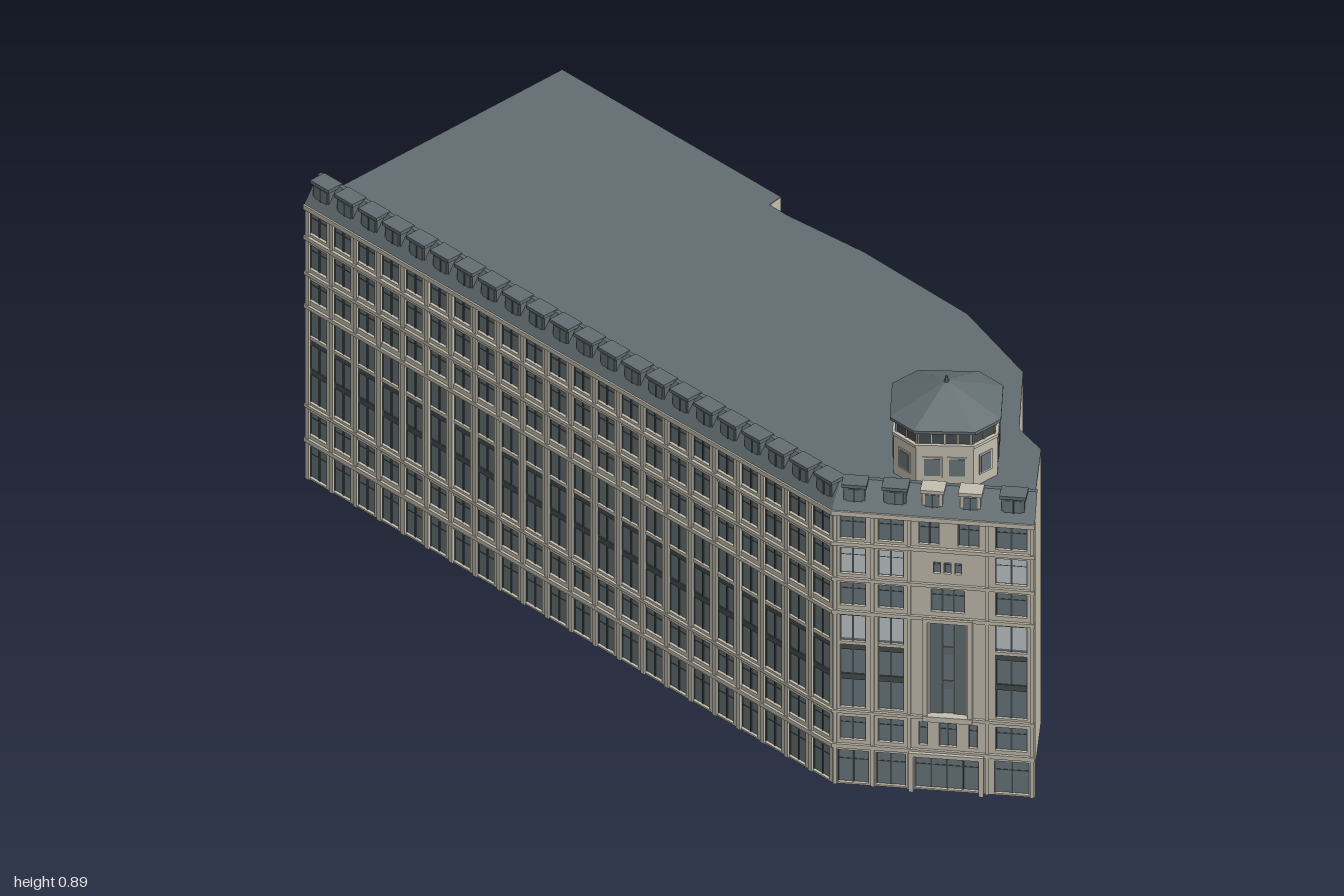
import * as THREE from 'three';
import { mergeGeometries } from 'three/addons/utils/BufferGeometryUtils.js';

const mat = (color, side = THREE.FrontSide) => new THREE.MeshStandardMaterial({ color, side, flatShading: true });
const STONE = mat(0xc2bdae), SLATE = mat(0x626d71), GLASS = mat(0x69757a);
const DARK = mat(0x454c4e), PALE = mat(0xbec5c7);
const STONE_SHEET = mat(0xc2bdae, THREE.DoubleSide), SLATE_SHEET = mat(0x626d71, THREE.DoubleSide);

// Street corners of the two decorated fronts, as [x, z], then the plain rear outline
const STREET = [[-0.588, -0.708], [0.031, 0.783], [0.409, 0.988]];
const REAR = [[0.455, 0.87], [0.525, 0.72], [0.51, 0.63], [0.595, 0.43], [0.565, 0.18],
  [0.446, -0.12], [0.345, -0.31], [0.325, -0.36], [0.358, -0.38], [0.102, -1.0]];
const EAVES = 0.685, WALL = 0.01;

function mesh(name, geometry, material) {
  const m = new THREE.Mesh(geometry, material);
  m.name = name;
  return m;
}

// Box given by its limits along the wall, in height and in depth
function box(x0, x1, y0, y1, z0, z1) {
  return new THREE.BoxGeometry(x1 - x0, y1 - y0, z1 - z0)
    .translate((x0 + x1) / 2, (y0 + y1) / 2, (z0 + z1) / 2);
}

// Street line moved outwards by d, mitred at the corner
function streetOffset(d) {
  const normals = [0, 1].map((i) => {
    const [a, b] = [STREET[i], STREET[i + 1]];
    return new THREE.Vector2(-(b[1] - a[1]), b[0] - a[0]).normalize();
  });
  const miter = normals[0].clone().add(normals[1]).normalize();
  miter.divideScalar(miter.dot(normals[0]));
  return [normals[0], miter, normals[1]].map((n, i) => [STREET[i][0] + n.x * d, STREET[i][1] + n.y * d]);
}

function fromTriangles(tris) {
  const g = new THREE.BufferGeometry();
  g.setAttribute('position', new THREE.Float32BufferAttribute(tris.flat(), 3));
  g.computeVertexNormals();
  return g;
}

// Quads between two rows of points, lower row first
function strip(lo, hi) {
  const tris = [];
  for (let i = 0; i < lo.length - 1; i++)
    tris.push(lo[i], lo[i + 1], hi[i + 1], lo[i], hi[i + 1], hi[i]);
  return tris;
}

// Sweeps an [out, y] profile along both street fronts; a closed one gets end caps
function streetSweep(profile, closed) {
  const rows = profile.map(([d, y]) => streetOffset(d).map(([x, z]) => [x, y, z]));
  const n = rows.length, tris = [];
  for (let j = 0; j < (closed ? n : n - 1); j++) tris.push(...strip(rows[j], rows[(j + 1) % n]));
  for (let j = 1; closed && j < n - 1; j++) {
    tris.push(rows[0][0], rows[j][0], rows[j + 1][0]);
    tris.push(rows[0][2], rows[j + 1][2], rows[j][2]);
  }
  return fromTriangles(tris);
}

// Wall with window openings [x0, x1, y0, y1, panes], glass and glazing bars
function facade(name, index, windows) {
  const [a, b] = [STREET[index], STREET[index + 1]];
  const [dx, dz] = [b[0] - a[0], b[1] - a[1]];
  const length = Math.hypot(dx, dz);
  const g = new THREE.Group();
  g.name = name;
  g.position.set(a[0], 0, a[1]);
  g.rotation.y = Math.atan2(-dz, dx);
  const rect = (T, x0, x1, y0, y1) => new T([[x0, y0], [x1, y0], [x1, y1], [x0, y1]]
    .map((p) => new THREE.Vector2(...p)));
  const shape = rect(THREE.Shape, 0, length, 0, EAVES);
  const bars = [], glass = [];
  for (const [x0, x1, y0, y1, panes = 2] of windows) {
    shape.holes.push(rect(THREE.Path, x0, x1, y0, y1));
    glass.push(box(x0, x1, y0, y1, -0.0095, -0.007));
    for (let i = 0; i <= panes; i++) {
      const x = x0 + ((x1 - x0) * i) / panes;
      bars.push(box(x - 0.0018, x + 0.0018, y0, y1, -0.008, -0.005));
    }
    const transom = y0 + (y1 - y0) * 0.7;
    bars.push(box(x0, x1, transom - 0.001, transom + 0.001, -0.008, -0.006));
    bars.push(box(x0, x1, y1 - 0.003, y1, -0.008, -0.005));
  }
  const wall = new THREE.ExtrudeGeometry(shape, { depth: WALL, bevelEnabled: false }).translate(0, 0, -WALL);
  g.add(mesh('wall', wall, STONE));
  g.add(mesh('glass', mergeGeometries(glass), GLASS));
  g.add(mesh('glazingBars', mergeGeometries(bars), DARK));
  return g;
}

// Dark floor bands with a thin stone sill across tall windows; spans are [x0, x1]
function floorBands(spans) {
  const g = new THREE.Group();
  g.name = 'floorBands';
  g.add(mesh('panel', mergeGeometries(spans.flatMap(([a, b]) =>
    [0.262, 0.337].map((y) => box(a, b, y, y + 0.014, -0.009, -0.004)))), DARK));
  g.add(mesh('sill', mergeGeometries(spans.map(([a, b]) => box(a, b, 0.351, 0.359, -0.009, -0.001))), STONE));
  return g;
}

// Dormers standing on the steep roof; spans are [x0, x1]
function dormers(spans, material, name) {
  const g = new THREE.Group();
  g.name = name;
  const part = (f) => mergeGeometries(spans.map(([a, b]) => f(a, b)));
  g.add(mesh('dormerBody', part((a, b) => box(a, b, 0.69, 0.742, -0.043, -0.01)), material));
  g.add(mesh('dormerRoof', part((a, b) => box(a - 0.004, b + 0.004, 0.742, 0.75, -0.046, -0.005)), material));
  g.add(mesh('dormerGlass', part((a, b) => box(a + 0.006, b - 0.006, 0.699, 0.737, -0.011, -0.0085)), GLASS));
  g.add(mesh('dormerBar', part((a, b) => box((a + b) / 2 - 0.002, (a + b) / 2 + 0.002, 0.699, 0.737, -0.01, -0.0075)), DARK));
  return g;
}

function sideFront() {
  const length = Math.hypot(STREET[1][0] - STREET[0][0], STREET[1][1] - STREET[0][1]);
  const bays = 22, pitch = length / bays;
  const floors = [[0.004, 0.085], [0.112, 0.17], [0.193, 0.425], [0.45, 0.503], [0.53, 0.592], [0.618, 0.672]];
  const windows = [], piers = [], openings = [], spans = [];
  for (let i = 0; i < bays; i++) {
    const x = (i + 0.5) * pitch;
    for (const [y0, y1] of floors) windows.push([x - 0.027, x + 0.027, y0, y1]);
    openings.push([x - 0.027, x + 0.027]);
    piers.push(box(x - pitch / 2 + 0.002, x - pitch / 2 + 0.013, 0, EAVES, -0.002, 0.004));
    spans.push([x - 0.024, x + 0.024]);
  }
  const g = facade('sideFront', 0, windows);
  g.add(mesh('piers', mergeGeometries(piers), STONE));
  g.add(floorBands(openings), dormers(spans, SLATE, 'sideDormers'));
  return g;
}

function entranceFront() {
  const [b, c] = [STREET[1], STREET[2]];
  const stretch = Math.hypot(c[0] - b[0], c[1] - b[1]) / (c[0] - b[0]);
  const u = (x) => (x - b[0]) * stretch;
  const at = (x0, x1, ...rest) => [u(x0), u(x1), ...rest];
  const outer = [[0.045, 0.092], [0.116, 0.163], [0.335, 0.394]];
  const windows = [], pale = [];
  for (const [x0, x1] of outer) {
    for (const [y0, y1] of [[0.112, 0.17], [0.193, 0.425], [0.45, 0.507], [0.53, 0.595], [0.618, 0.675]])
      windows.push(at(x0, x1, y0, y1));
    for (const [y0, y1] of [[0.365, 0.422], [0.532, 0.593]]) pale.push(box(...at(x0, x1, y0, y1), -0.008, -0.0062));
  }
  // Ground floor, centre bay and the small openings
  windows.push(at(0.04, 0.098, 0.004, 0.085), at(0.112, 0.167, 0.004, 0.085), at(0.333, 0.398, 0.004, 0.085),
    at(0.185, 0.303, 0.004, 0.085, 4), at(0.213, 0.28, 0.193, 0.425, 3), at(0.215, 0.277, 0.45, 0.507, 3),
    at(0.192, 0.208, 0.112, 0.17, 1), at(0.23, 0.262, 0.112, 0.17), at(0.285, 0.301, 0.112, 0.17, 1),
    at(0.192, 0.23, 0.618, 0.675), at(0.265, 0.304, 0.618, 0.675));
  for (const x of [0.219, 0.239, 0.259]) windows.push(at(x, x + 0.013, 0.547, 0.575, 1));
  const g = facade('entranceFront', 1, windows);
  g.add(mesh('paleBlinds', mergeGeometries(pale), PALE));
  g.add(floorBands(outer.map(([x0, x1]) => at(x0, x1))));

  // Raised surrounds of the centre bay and of the entrance, and flat pilasters
  const surround = (x0, x1, y0, y1, t, out) => [
    box(u(x0), u(x0 + t), y0, y1, -0.002, out), box(u(x1 - t), u(x1), y0, y1, -0.002, out),
    box(u(x0), u(x1), y1 - t, y1, -0.002, out)];
  const trim = [...surround(0.2, 0.293, 0.185, 0.437, 0.009, 0.012), ...surround(0.174, 0.314, 0, 0.098, 0.009, 0.014)];
  trim.push(box(u(0.2), u(0.293), 0.18, 0.193, -0.002, 0.014));
  for (const x of [0.032, 0.102, 0.17, 0.316, 0.4])
    trim.push(box(u(x), u(x + 0.007), 0, EAVES, -0.002, 0.004));
  g.add(mesh('surrounds', mergeGeometries(trim), STONE));

  // Slate panels flanking the narrow centre panes
  const panels = [[0.213, 0.234], [0.259, 0.28]].map(([x0, x1]) => box(...at(x0, x1, 0.193, 0.425), -0.009, -0.004));
  for (const y of [0.255, 0.34]) panels.push(box(u(0.234), u(0.259), y, y + 0.02, -0.009, -0.005));
  g.add(mesh('centrePanels', mergeGeometries(panels), SLATE));
  const span = (list) => list.map(([x0, x1]) => at(x0, x1));
  g.add(dormers(span([[0.05, 0.09], [0.125, 0.167], [0.345, 0.388]]), SLATE, 'frontDormers'));
  g.add(dormers(span([[0.197, 0.235], [0.268, 0.306]]), STONE, 'stoneDormers'));
  return g;
}

// Eight-sided lantern on the roof with alternating long and short sides
function tower() {
  const g = new THREE.Group();
  g.name = 'roofTower';
  g.position.set(0.327, 0, 0.68);
  const corners = [];
  for (let k = 4; k >= 0; k--) corners.push(68 + 90 * k + 16, 68 + 90 * k - 16);
  corners.length = 9;
  const ring = ([r, y]) => corners.map((d) => {
    const t = THREE.MathUtils.degToRad(d);
    return [r * Math.cos(t), y, r * Math.sin(t)];
  });
  const loft = (profile) => fromTriangles(profile.slice(1).flatMap((p, j) => strip(ring(profile[j]), ring(p))));
  g.add(mesh('towerWall', loft([[0.125, 0.68], [0.125, 0.783], [0.128, 0.783], [0.128, 0.79], [0.001, 0.79]]), STONE));
  g.add(mesh('lanternGlass', loft([[0.119, 0.785], [0.119, 0.822]]), DARK));
  g.add(mesh('towerRoof', loft([[0.001, 0.822], [0.134, 0.822], [0.134, 0.829], [0.006, 0.88], [0.002, 0.894], [0.0001, 0.895]]), SLATE));
  const panes = [], posts = [], frames = [];
  for (let k = 0; k < 8; k++) {
    const long = k % 2, deg = 68 + 45 * k;
    const face = 0.125 * Math.cos(THREE.MathUtils.degToRad(long ? 29 : 16));
    const turn = (geo) => geo.rotateY(THREE.MathUtils.degToRad(90 - deg));
    for (const x of long ? [-0.026, 0.026] : [0]) {
      const w = long ? 0.017 : 0.014;
      frames.push(turn(box(x - w - 0.004, x + w + 0.004, 0.71, 0.76, face - 0.005, face + 0.002)));
      panes.push(turn(box(x - w, x + w, 0.714, 0.756, face - 0.005, face + 0.003)));
    }
    const count = long ? 5 : 3, half = long ? 0.056 : 0.031;
    for (let i = 0; i < count; i++) {
      const x = -half + (2 * half * i) / (count - 1);
      posts.push(turn(box(x - 0.0012, x + 0.0012, 0.788, 0.822, face - 0.01, face - 0.003)));
    }
  }
  g.add(mesh('towerWindowFrames', mergeGeometries(frames), STONE));
  g.add(mesh('towerWindows', mergeGeometries(panes), GLASS));
  g.add(mesh('lanternPosts', mergeGeometries(posts), STONE));
  return g;
}

export function createModel() {
  const model = new THREE.Group();
  model.name = 'cornerBuilding';

  // Plain rear walls and flat slate roof; the shell is open underneath
  const rear = [STREET[2], ...REAR, STREET[0]];
  const level = (y) => rear.map(([x, z]) => [x, y, z]);
  model.add(mesh('rearWalls', fromTriangles(strip(level(0), level(EAVES))), STONE_SHEET));
  const shape = new THREE.Shape([...STREET, ...REAR].map(([x, z]) => new THREE.Vector2(x, -z)));
  model.add(mesh('flatRoof', new THREE.ShapeGeometry(shape).rotateX(-Math.PI / 2).translate(0, EAVES + 0.001, 0), SLATE_SHEET));

  model.add(sideFront(), entranceFront(), tower());

  // String courses and eaves cornice
  for (const [y, h, out] of [[0.093, 0.01, 0.006], [0.181, 0.007, 0.006], [0.43, 0.009, 0.006],
    [0.514, 0.008, 0.006], [0.603, 0.009, 0.007], [0.679, 0.011, 0.008]])
    model.add(mesh('cornice', streetSweep([[out, y], [out, y + h], [-0.008, y + h], [-0.008, y]], true), STONE));

  // Steep roof sheet rising behind the cornice
  model.add(mesh('mansardRoof', streetSweep([[0.004, 0.69], [-0.036, 0.747], [-0.046, 0.747]], false), SLATE_SHEET));
  return model;
}
